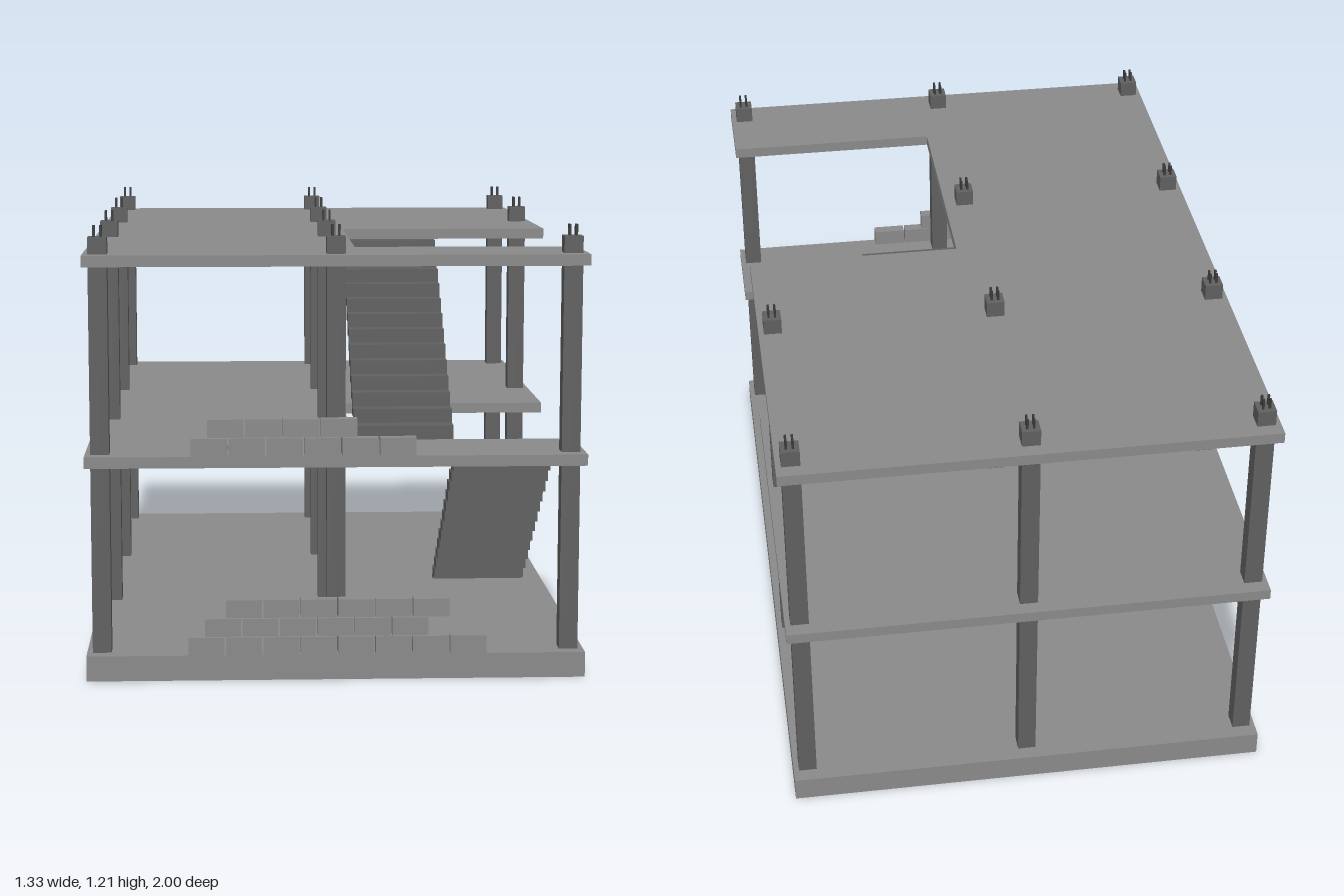
import * as THREE from 'three';

const mat = (name, color) => {
  const m = new THREE.MeshStandardMaterial({ color });
  m.name = name;
  return m;
};

export function createModel() {
  const model = new THREE.Group();
  model.name = 'unfinishedBuilding';
  const concrete = mat('concrete', 0x8a8a8a);
  const darkConcrete = mat('darkConcrete', 0x606060);
  const steel = mat('steel', 0x3a3a3a);

  const add = (name, geometry, material, x = 0, y = 0, z = 0) => {
    const mesh = new THREE.Mesh(geometry, material);
    mesh.name = name;
    mesh.position.set(x, y, z);
    model.add(mesh);
    return mesh;
  };

  // Ground slab
  const W = 0.665, base = 0.068, slab = 0.03;
  add('groundSlab', new THREE.BoxGeometry(2 * W, base, 2), concrete, 0, base / 2, 0);

  // Upper floors, notched on one side for the stairwell (shape y becomes z)
  const outline = new THREE.Shape([
    [-W, -1], [W, -1], [W, 0.04], [0.06, 0.04], [0.06, 0.73], [W, 0.73], [W, 1], [-W, 1],
  ].map(([x, z]) => new THREE.Vector2(x, z)));
  const floorGeo = new THREE.ExtrudeGeometry(outline, { depth: slab, bevelEnabled: false });
  floorGeo.rotateX(Math.PI / 2);
  add('middleFloor', floorGeo, concrete, 0, 0.603, 0);
  add('topFloor', floorGeo, concrete, 0, 1.133, 0);

  // Columns with four reinforcing rods each; none stands in the stairwell
  const colTop = 1.178;
  const colGeo = new THREE.BoxGeometry(0.05, colTop - base, 0.05);
  const rodGeo = new THREE.BoxGeometry(0.006, 0.03, 0.006);
  for (const x of [-0.625, 0, 0.625]) {
    for (const z of [-0.935, -0.312, 0.312, 0.935]) {
      if (x > 0 && z === 0.312) continue;
      add('column', colGeo, darkConcrete, x, (colTop + base) / 2, z);
      for (const dx of [-0.009, 0.009])
        for (const dz of [-0.009, 0.009])
          add('rod', rodGeo, steel, x + dx, colTop + 0.015, z + dz);
    }
  }

  // Folded-plate stair flight: stepped top edge and matching stepped underside
  const flight = (name, x0, x1, zStart, zEnd, y0, y1) => {
    const n = 13, t = 0.024;
    const run = Math.abs(zEnd - zStart) / n, rise = (y1 - y0) / n;
    const upper = [], lower = [];
    for (let i = 0; i < n; i++) {
      upper.push([i * run, i * rise], [i * run, (i + 1) * rise]);
      const under = (i + 1) * rise - t;
      lower.push([i * run + t, i ? i * rise - t : 0], [i * run + t, under]);
    }
    upper.push([n * run, n * rise]);
    lower.push([n * run, n * rise - t]);
    const shape = new THREE.Shape(
      [...upper, ...lower.reverse()].map(([a, b]) => new THREE.Vector2(a, b)));
    const geo = new THREE.ExtrudeGeometry(shape, { depth: x1 - x0, bevelEnabled: false });
    const toFront = zEnd > zStart;
    geo.rotateY(toFront ? -Math.PI / 2 : Math.PI / 2);
    add(name, geo, darkConcrete, toFront ? x1 : x0, y0, zStart);
  };
  flight('lowerStairs', 0.335, 0.605, 0.058, 0.742, base, 0.573);
  flight('upperStairs', 0.06, 0.333, 0.73, 0.045, 0.603, 1.103);

  // Started brick walls along the front edge: [first x, brick count] per course
  const pitch = 0.0997;
  const brickGeo = new THREE.BoxGeometry(0.096, 0.048, 0.033);
  const wall = (name, y, courses) => courses.forEach(([x, count], row) => {
    for (let i = 0; i < count; i++)
      add(name, brickGeo, concrete, x + (i + 0.5) * pitch, y + 0.024 + row * 0.0505, 0.9835);
  });
  wall('groundBrick', base, [[-0.396, 8], [-0.352, 6], [-0.296, 6]]);
  wall('middleFloorBrick', 0.603, [[-0.386, 6], [-0.343, 4]]);

  return model;
}
